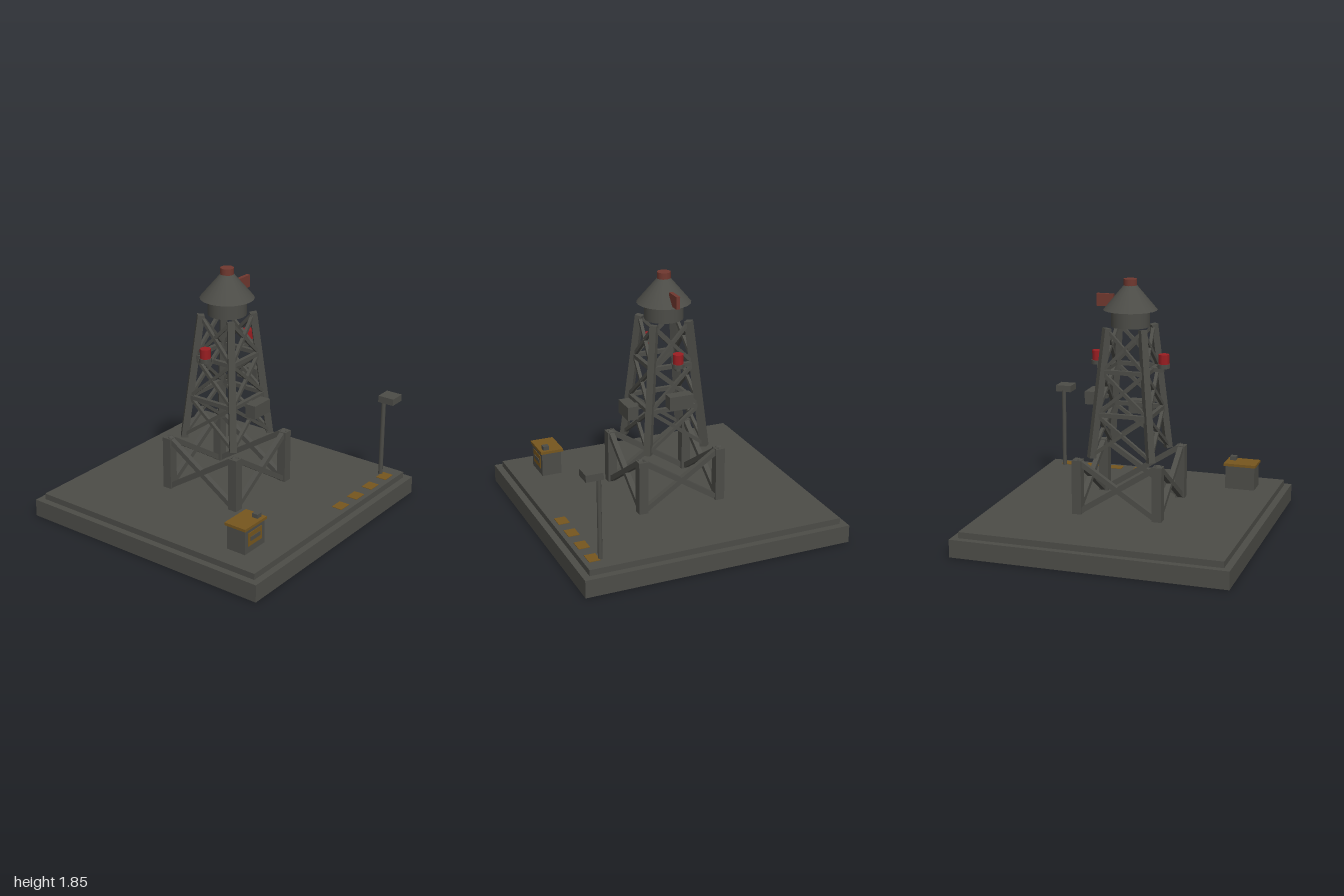
import * as THREE from 'three';

const paint = (name, color) => {
  const m = new THREE.MeshStandardMaterial({ color });
  m.name = name;
  return m;
};

export function createModel() {
  const steel = paint('steel grey', 0x4c4c47);
  const amber = paint('amber', 0x76561e);
  const red = paint('signal red', 0x9a1e22);
  const rust = paint('rust', 0x70382f);

  const model = new THREE.Group();
  model.name = 'waterTowerBase';

  const add = (name, geometry, material, parent, x = 0, y = 0, z = 0) => {
    const mesh = new THREE.Mesh(geometry, material);
    mesh.name = name;
    mesh.position.set(x, y, z);
    parent.add(mesh);
    return mesh;
  };
  // Box given by its extents on each axis
  const block = (name, material, parent, [x0, x1], [y0, y1], [z0, z1]) =>
    add(name, new THREE.BoxGeometry(x1 - x0, y1 - y0, z1 - z0), material, parent,
      (x0 + x1) / 2, (y0 + y1) / 2, (z0 + z1) / 2);
  // Square beam between two points
  const beam = (name, parent, a, b, size) => {
    const from = new THREE.Vector3(...a), to = new THREE.Vector3(...b);
    const mesh = new THREE.Mesh(new THREE.BoxGeometry(size, size, from.distanceTo(to)), steel);
    mesh.name = name;
    mesh.position.copy(from).lerp(to, 0.5);
    mesh.lookAt(to);
    parent.add(mesh);
  };
  const drum = (name, material, parent, rTop, rBottom, y0, y1, sides, x = 0, z = 0) =>
    add(name, new THREE.CylinderGeometry(rTop, rBottom, y1 - y0, sides), material, parent, x, (y0 + y1) / 2, z);

  // Stepped ground slab
  block('groundSlab', steel, model, [-1, 1], [0, 0.13], [-1, 1]);
  block('groundStep', steel, model, [-0.95, 0.95], [0.13, 0.175], [-0.95, 0.95]);

  // Tower: four equal sides turned around the axis
  const tower = new THREE.Group();
  tower.name = 'tower';
  model.add(tower);
  const legAt = (y) => 0.222 - 0.09 * (y - 0.58) / 0.93;
  const levels = [0.59, 0.89, 1.2, 1.5];
  for (let i = 0; i < 4; i++) {
    const side = new THREE.Group();
    side.name = 'towerSide';
    // Stout lower post and its cross braces
    block('lowerPost', steel, side, [0.265, 0.335], [0.175, 0.575], [0.265, 0.335]);
    for (const s of [-1, 1]) beam('lowerBrace', side, [-0.3 * s, 0.18, 0.303], [0.3 * s, 0.57, 0.303], 0.038);
    // Leaning leg
    const b = legAt(0.58), t = legAt(1.51);
    beam('towerLeg', side, [b, 0.575, b], [t, 1.51, t], 0.05);
    // Cross braces in three bays, with a rail between bays
    for (let k = 0; k < 3; k++) {
      const y0 = levels[k], y1 = levels[k + 1], r0 = legAt(y0), r1 = legAt(y1);
      for (const s of [-1, 1]) beam('crossBrace', side, [-r0 * s, y0, r0], [r1 * s, y1, r1], 0.024);
      if (k > 0) beam('rail', side, [-r0, y0, r0], [r0, y0, r0], 0.03);
    }
    side.rotation.y = i * Math.PI / 2;
    tower.add(side);
  }

  // Tank with conical roof, cap and vane
  const tank = new THREE.Group();
  tank.name = 'tank';
  model.add(tank);
  drum('tankBody', steel, tank, 0.14, 0.14, 1.51, 1.63, 20);
  drum('tankRoof', steel, tank, 0.045, 0.195, 1.63, 1.808, 20);
  drum('roofCap', rust, tank, 0.049, 0.049, 1.8, 1.85, 12);
  block('vane', rust, tank, [0.125, 0.25], [1.645, 1.735], [-0.014, 0.014]);

  // Signal lamps on both sides
  for (const s of [-1, 1]) {
    const lamp = new THREE.Group();
    lamp.name = s > 0 ? 'leftSignalLamp' : 'rightSignalLamp';
    add('lampBracket', new THREE.BoxGeometry(0.09, 0.03, 0.026), steel, lamp, 0.205 * s, 1.205, 0);
    drum('lampBase', steel, lamp, 0.046, 0.046, 1.22, 1.25, 8, 0.25 * s);
    drum('lampGlass', red, lamp, 0.04, 0.04, 1.25, 1.32, 8, 0.25 * s);
    model.add(lamp);
  }

  // Equipment boxes on the tower
  block('frontBox', steel, model, [-0.09, 0.09], [0.805, 0.905], [0.235, 0.318]);
  block('frontBoxMount', steel, model, [-0.02, 0.02], [0.85, 0.89], [0.18, 0.24]);
  block('sideBox', steel, model, [0.235, 0.318], [0.933, 1.028], [-0.09, 0.09]);
  block('sideBoxMount', steel, model, [0.17, 0.24], [0.97, 0.995], [-0.02, 0.02]);

  // Control hut
  const hut = new THREE.Group();
  hut.name = 'hut';
  model.add(hut);
  block('hutBody', steel, hut, [-0.79, -0.565], [0.175, 0.355], [0.603, 0.753]);
  block('hutRoof', amber, hut, [-0.8, -0.555], [0.355, 0.375], [0.587, 0.763]);
  block('hutVent', steel, hut, [-0.625, -0.58], [0.375, 0.405], [0.69, 0.735]);
  block('hutPanel', amber, hut, [-0.755, -0.6], [0.225, 0.325], [0.753, 0.757]);
  block('hutPanelSlot', steel, hut, [-0.73, -0.625], [0.26, 0.29], [0.757, 0.761]);

  // Lamp post
  const post = new THREE.Group();
  post.name = 'lampPost';
  model.add(post);
  drum('lampPole', steel, post, 0.017, 0.017, 0.175, 0.79, 8, 0.823, 0.825);
  block('lampHead', steel, post, [0.763, 0.885], [0.78, 0.83], [0.813, 0.938]);

  // Ground markings
  for (let i = 0; i < 4; i++) {
    const x = 0.2 + i * 0.2;
    block('groundMark', amber, model, [x - 0.052, x + 0.052], [0.175, 0.179], [0.833, 0.915]);
  }
  return model;
}
